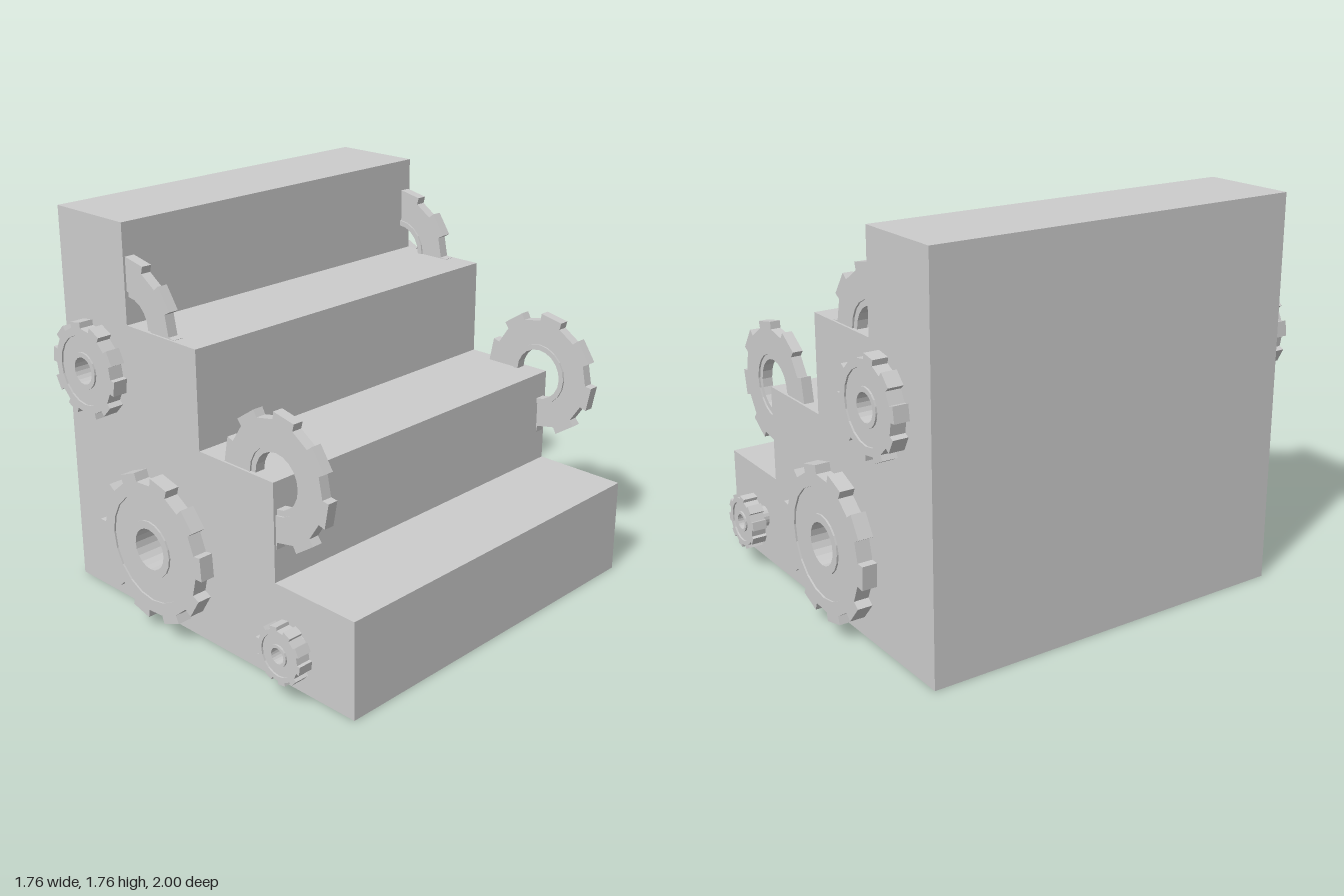
import * as THREE from 'three';

const SIDES = 20;
const material = new THREE.MeshStandardMaterial({ color: 0xcccccc, flatShading: true });

function polar(r, a) {
  return new THREE.Vector2(r * Math.cos(a), r * Math.sin(a));
}

// Toothed outline with a round opening
function toothedShape(outer, root, teeth, phase, opening) {
  const points = [];
  const pitch = (2 * Math.PI) / teeth;
  for (let i = 0; i < teeth; i++) {
    const a = phase + i * pitch;
    points.push(polar(root, a - 0.27 * pitch), polar(outer, a - 0.25 * pitch));
    points.push(polar(outer, a + 0.25 * pitch), polar(root, a + 0.27 * pitch));
  }
  const shape = new THREE.Shape(points);
  const hole = [];
  for (let i = 0; i < SIDES; i++) hole.push(polar(opening, (-i / SIDES) * 2 * Math.PI));
  shape.holes.push(new THREE.Path(hole));
  return shape;
}

// Gear along +z: toothed rim plus a turned centre with hub and bore
function makeGear(g, phase) {
  const gear = new THREE.Group();
  const rimGeometry = new THREE.ExtrudeGeometry(
    toothedShape(g.outer, g.root, g.teeth, phase, g.recess),
    { depth: g.front - g.back, bevelEnabled: false }
  );
  rimGeometry.translate(0, 0, g.back);
  const rim = new THREE.Mesh(rimGeometry, material);
  rim.name = 'toothedRim';

  const face = g.front - 0.008;
  const profile = [[g.bore, g.hubBack], [g.hub, g.hubBack], [g.hub, g.back]];
  if (g.recess > g.hub) {
    profile.push([g.recess, g.back], [g.recess, face], [g.hub, face], [g.hub, g.front], [g.bore, g.front]);
  } else {
    profile.push([g.hub, face], [g.bore, face]);
  }
  profile.push([g.bore, g.hubBack]);
  const centreGeometry = new THREE.LatheGeometry(profile.map(([r, y]) => new THREE.Vector2(r, y)), SIDES);
  centreGeometry.rotateX(Math.PI / 2);
  const centre = new THREE.Mesh(centreGeometry, material);
  centre.name = 'hub';

  gear.add(rim, centre);
  return gear;
}

export function createModel() {
  const model = new THREE.Group();
  model.name = 'gearedStaircase';

  // Solid block of four steps, descending towards +x
  const step = 0.44;
  const stairs = new THREE.Shape();
  stairs.moveTo(-0.88, 0);
  stairs.lineTo(0.88, 0);
  for (let i = 1; i <= 4; i++) {
    stairs.lineTo(0.88 - (i - 1) * step, i * step);
    stairs.lineTo(0.88 - i * step, i * step);
  }
  const stairGeometry = new THREE.ExtrudeGeometry(stairs, { depth: 1.76, bevelEnabled: false });
  stairGeometry.translate(0, 0, -0.88);
  const block = new THREE.Mesh(stairGeometry, material);
  block.name = 'stairs';
  model.add(block);

  // Gears standing off the side walls, and ring gears set into the step corners
  const wall = { back: 0.933, front: 1, hubBack: 0.88, teeth: 10 };
  const corner = {
    back: 0.823, front: 0.87, hubBack: 0.815, teeth: 8, phase: 34,
    outer: 0.295, root: 0.262, recess: 0.145, hub: 0.145, bore: 0.12,
  };
  const gears = [
    { ...wall, name: 'upperGear', x: -0.605, y: 1.107, phase: 100, outer: 0.215, root: 0.19, recess: 0.155, hub: 0.082, bore: 0.06 },
    { ...wall, name: 'largeGear', x: -0.213, y: 0.4, phase: 76, outer: 0.34, root: 0.302, recess: 0.244, hub: 0.13, bore: 0.094 },
    { ...wall, name: 'smallGear', x: 0.574, y: 0.214, phase: 100, outer: 0.128, root: 0.113, recess: 0.092, hub: 0.048, bore: 0.035 },
    { ...corner, name: 'lowerStepGear', x: 0.44, y: 0.88 },
    { ...corner, name: 'upperStepGear', x: -0.44, y: 1.32 },
  ];

  // The back repeats the front, mirrored in z
  for (const g of gears) {
    const phase = THREE.MathUtils.degToRad(g.phase);
    const front = makeGear(g, phase);
    front.name = g.name + 'Front';
    front.position.set(g.x, g.y, 0);
    const back = makeGear(g, Math.PI - phase);
    back.name = g.name + 'Back';
    back.position.set(g.x, g.y, 0);
    back.rotation.y = Math.PI;
    model.add(front, back);
  }
  return model;
}
